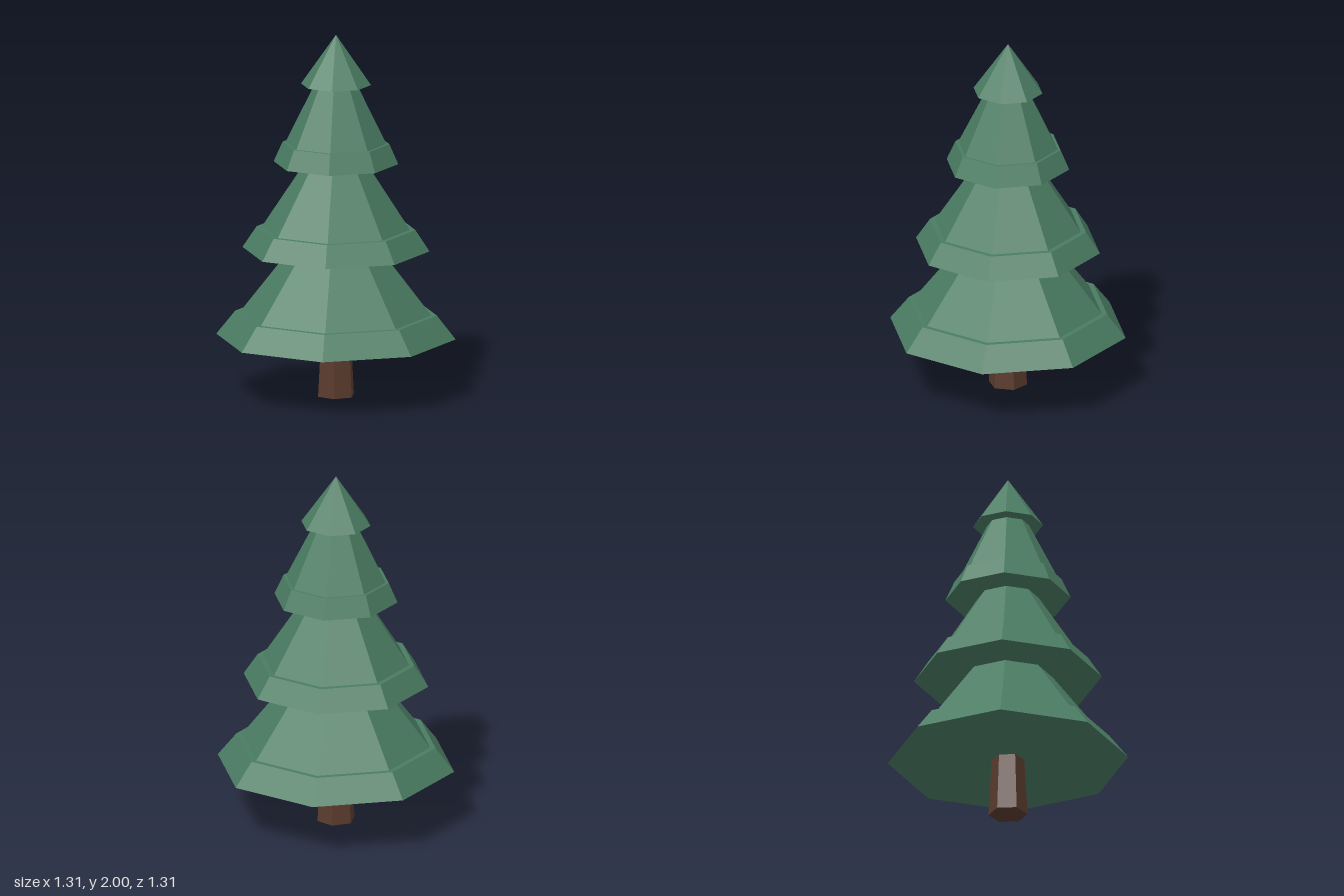
import * as THREE from 'three';

export function createModel() {
  const tree = new THREE.Group();
  tree.name = 'pineTree';

  const needles = new THREE.MeshStandardMaterial({ color: 0x4a7c62, flatShading: true });
  needles.name = 'needle green';
  const bark = new THREE.MeshStandardMaterial({ color: 0x5a3b2d, flatShading: true });
  bark.name = 'bark brown';

  // Faceted solid of revolution from a profile of [radius, height], bottom to top
  function addFaceted(name, profile, sides, material) {
    const points = profile.map(([r, y]) => new THREE.Vector2(r, y));
    const mesh = new THREE.Mesh(new THREE.LatheGeometry(points, sides), material);
    mesh.name = name;
    tree.add(mesh);
  }

  // Six-sided tapering trunk
  addFaceted('trunk', [[0, 0], [0.106, 0], [0.088, 0.325]], 6, bark);

  // Eight-sided tiers: flat underside, flared skirt, narrow ledge, then a cone into the tier above
  const tiers = [
    { name: 'lowerBranches', y: [0.325, 0.455, 0.81], r: [0.653, 0.55, 0.52, 0.245] },
    { name: 'middleBranches', y: [0.81, 0.927, 1.29], r: [0.51, 0.433, 0.404, 0.167] },
    { name: 'upperBranches', y: [1.29, 1.4, 1.725], r: [0.34, 0.291, 0.275, 0.115] },
  ];
  for (const { name, y, r } of tiers) {
    addFaceted(name, [[0, y[0]], [r[0], y[0]], [r[1], y[1]], [r[2], y[1]], [r[3], y[2]]], 8, needles);
  }

  // Pointed top
  addFaceted('treeTip', [[0, 1.725], [0.191, 1.725], [0, 2]], 8, needles);

  return tree;
}
